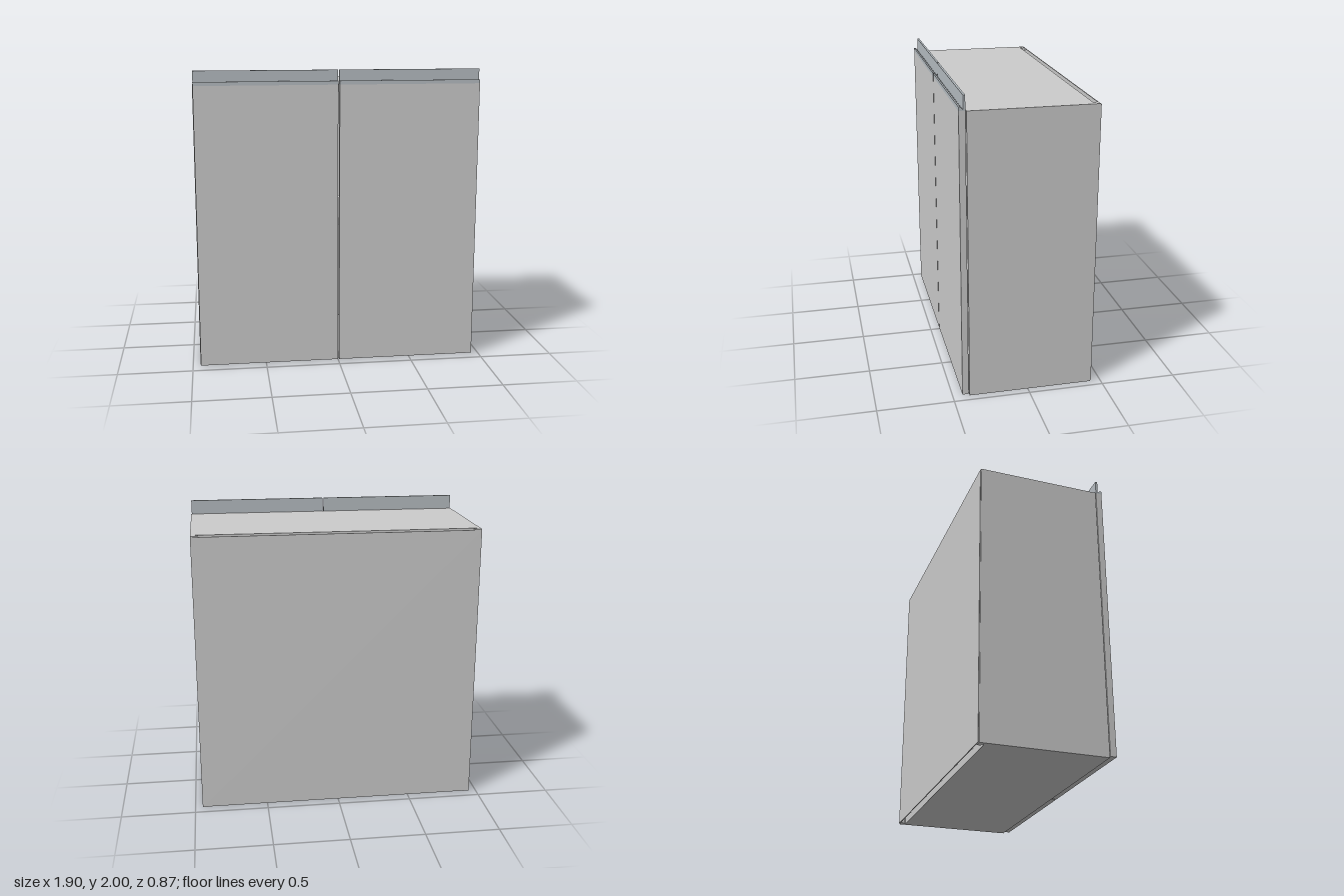
import * as THREE from 'three';

const grey = new THREE.MeshStandardMaterial({ color: 0xcccccc });
const metal = new THREE.MeshStandardMaterial({ color: 0xb6bdc2 });

// Box given by its limits on each axis
function panel(name, [x0, x1], [y0, y1], [z0, z1]) {
  const geo = new THREE.BoxGeometry(x1 - x0, y1 - y0, z1 - z0);
  geo.translate((x0 + x1) / 2, (y0 + y1) / 2, (z0 + z1) / 2);
  const mesh = new THREE.Mesh(geo, grey);
  mesh.name = name;
  return mesh;
}

function extrude(points, depth) {
  const shape = new THREE.Shape(points.map(([a, b]) => new THREE.Vector2(a, b)));
  return new THREE.ExtrudeGeometry(shape, { depth, bevelEnabled: false });
}

export function createModel() {
  const model = new THREE.Group();
  model.name = 'wallCabinet';

  const top = 1.905, thick = 0.048;
  const outer = 0.95, inner = outer - thick;
  const front = 0.39, back = -0.431, grooveBack = -0.407, grooveFront = -0.394;

  for (const s of [1, -1]) {
    const side = s > 0 ? 'left' : 'right';

    // Side panel with a vertical groove near the back
    const plan = [
      [outer, front], [outer, back], [inner, back], [inner, grooveBack],
      [inner + 0.02, grooveBack], [inner + 0.02, grooveFront], [inner, grooveFront], [inner, front],
    ].map(([x, z]) => [s * x, -z]);
    const sideMesh = new THREE.Mesh(extrude(plan, top).rotateX(-Math.PI / 2), grey);
    sideMesh.name = side + 'SidePanel';
    model.add(sideMesh);

    // Door
    const xs = [s * 0.005, s * 0.946].sort((a, b) => a - b);
    model.add(panel(side + 'Door', xs, [0.01, top], [0.396, 0.437]));

    // Handle rail along the door top: tall rear flange, low front lip
    const profile = [
      [0.396, top], [0.437, top], [0.437, 1.93], [0.427, 1.93],
      [0.41, 1.912], [0.41, 2], [0.396, 2],
    ];
    const rail = new THREE.Mesh(
      extrude(profile, xs[1] - xs[0]).rotateY(-Math.PI / 2).translate(xs[1], 0, 0), metal);
    rail.name = side + 'HandleRail';
    model.add(rail);
  }

  // Horizontal boards, stopping short of the back to leave a cavity
  const boards = { bottomPanel: 0, shelf: 0.957, topPanel: top - thick };
  for (const [name, y] of Object.entries(boards)) {
    model.add(panel(name, [-inner, inner], [y, y + thick], [grooveFront, front]));
  }

  // Thin back sheet
  model.add(panel('backPanel', [-0.945, 0.945], [0.005, 1.9], [-0.437, back]));

  return model;
}
